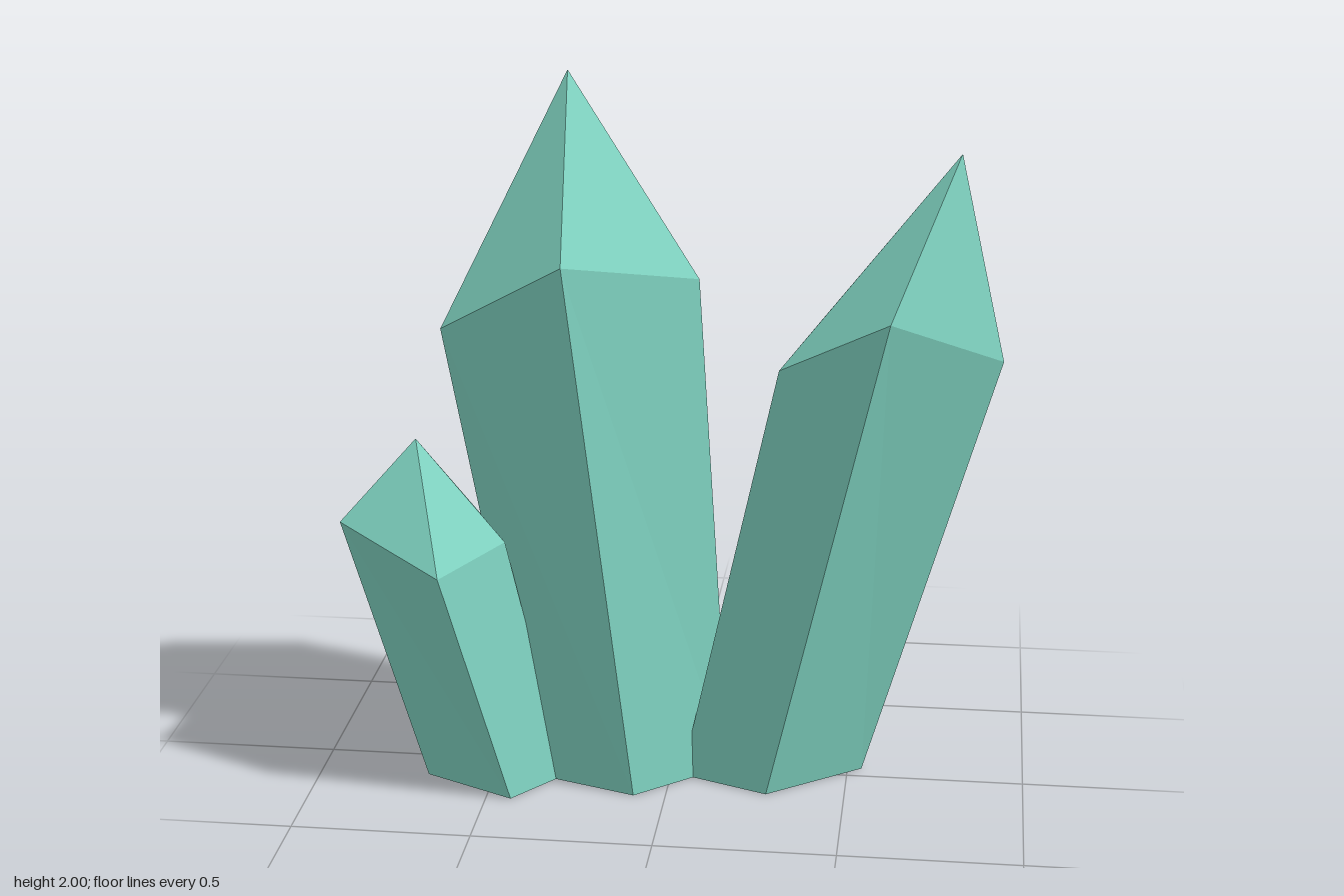
import * as THREE from 'three';

// Each crystal: apex, shoulder ring and foot ring (five corners, clockwise from above, starting at the front).
const CRYSTALS = [
  {
    name: 'centralCrystal',
    apex: [-0.30, 2, -0.11],
    shoulder: [[-0.27, 1.54, 0.25], [-0.62, 1.33, 0.13], [-0.52, 1.49, -0.32], [-0.08, 1.51, -0.36], [0.07, 1.45, -0.02]],
    foot: [[-0.09, 0.20], [-0.38, 0.10], [-0.30, -0.28], [0.07, -0.32], [0.16, -0.02]],
  },
  {
    name: 'tallLeaningCrystal',
    apex: [0.77, 1.81, -0.04],
    shoulder: [[0.60, 1.41, 0.24], [0.30, 1.24, 0.12], [0.39, 1.285, -0.22], [0.76, 1.41, -0.27], [0.90, 1.25, 0]],
    foot: [[0.28, 0.15], [0.03, 0.05], [0.105, -0.235], [0.41, -0.28], [0.54, -0.05]],
  },
  {
    name: 'smallCrystal',
    apex: [-0.70, 1.01, 0.12],
    shoulder: [[-0.60, 0.69, 0.36], [-0.90, 0.79, 0.21], [-0.80, 0.72, -0.04], [-0.57, 0.71, -0.12], [-0.45, 0.73, 0.157]],
    foot: [[-0.43, 0.26], [-0.69, 0.13], [-0.605, -0.08], [-0.41, -0.15], [-0.30, 0.09]],
  },
];

// Closed five-sided prism with a pointed tip
function crystalGeometry({ apex, shoulder, foot }) {
  const low = foot.map(([x, z]) => [x, 0, z]);
  const n = low.length;
  const centre = [0, 1, 2].map((k) => low.reduce((sum, p) => sum + p[k], 0) / n);
  const corners = [];
  for (let i = 0; i < n; i++) {
    const j = (i + 1) % n;
    corners.push(low[i], shoulder[i], shoulder[j]); // side
    corners.push(low[i], shoulder[j], low[j]);
    corners.push(shoulder[i], apex, shoulder[j]); // tip
    corners.push(centre, low[i], low[j]); // underside
  }
  const geometry = new THREE.BufferGeometry();
  geometry.setAttribute('position', new THREE.Float32BufferAttribute(corners.flat(), 3));
  geometry.computeVertexNormals();
  return geometry;
}

export function createModel() {
  const group = new THREE.Group();
  group.name = 'crystalCluster';
  const material = new THREE.MeshStandardMaterial({ color: 0x80d4c2, flatShading: true });
  material.name = 'paleTurquoise';
  for (const crystal of CRYSTALS) {
    const mesh = new THREE.Mesh(crystalGeometry(crystal), material);
    mesh.name = crystal.name;
    group.add(mesh);
  }
  return group;
}
